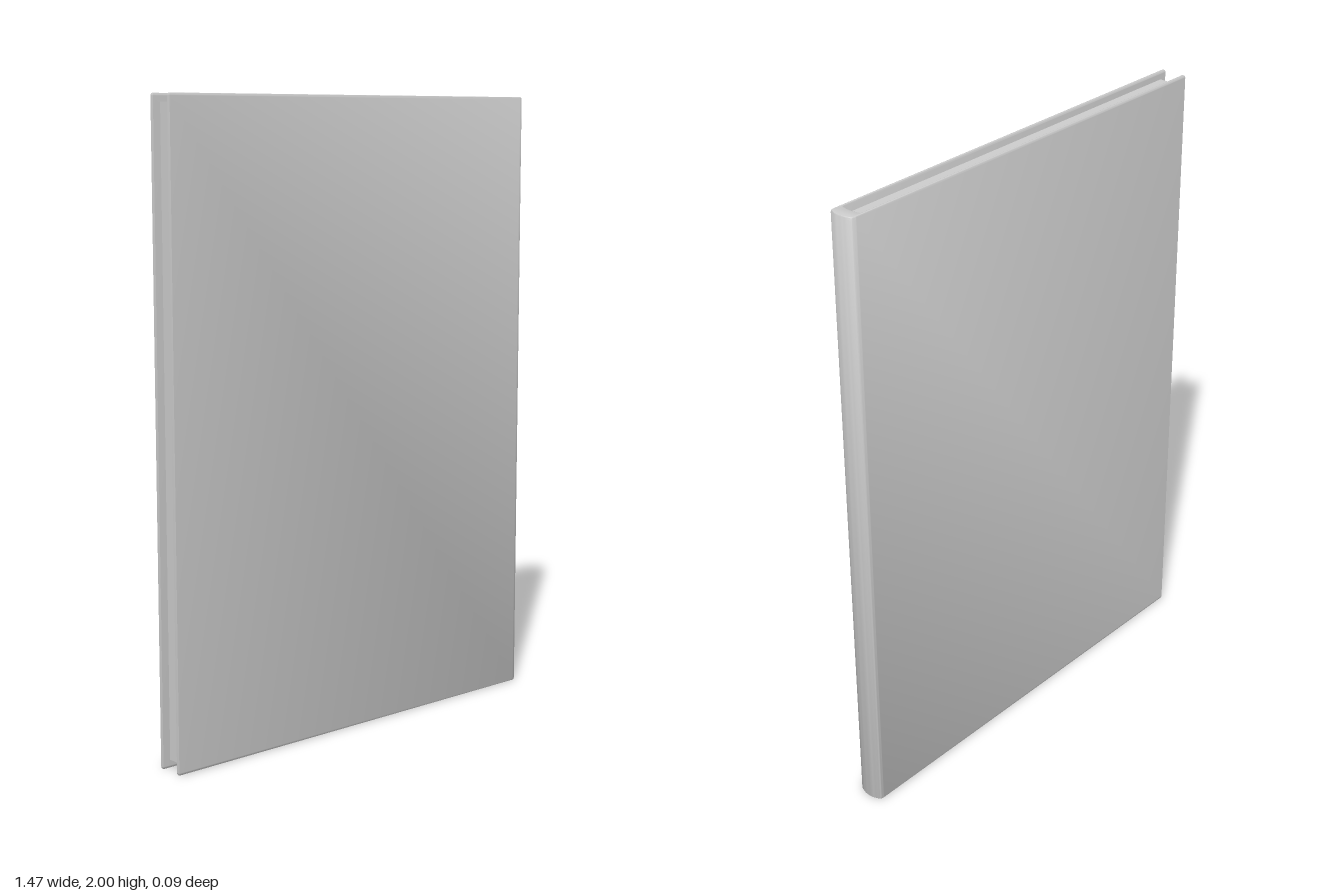
import * as THREE from 'three';
import { toCreasedNormals } from 'three/addons/utils/BufferGeometryUtils.js';

const HEIGHT = 2;
const HALF = 0.045;       // half thickness of the closed book
const INNER = 0.033;      // half thickness of the page block
const FORE_EDGE = -0.74;  // open edge of the cover
const RECESS = 0.025;     // pages sit back from the cover edges

// Extrudes a plan outline (x, z) upward between two heights, with rounded rims.
function upright(shape, y0, y1, bevel, rise) {
  const geometry = new THREE.ExtrudeGeometry(shape, {
    depth: y1 - y0 - 2 * rise,
    curveSegments: 10,
    bevelEnabled: bevel > 0,
    bevelSize: bevel,
    bevelOffset: -bevel,
    bevelThickness: rise,
    bevelSegments: 4,
  });
  geometry.rotateX(-Math.PI / 2);
  geometry.translate(0, y0 + rise, 0);
  return toCreasedNormals(geometry, 0.7);
}

// Cover: two boards joined by a gently rounded spine, as one U outline.
function coverShape() {
  const s = new THREE.Shape();
  s.moveTo(FORE_EDGE, -HALF);
  s.lineTo(0.71, -HALF);
  s.quadraticCurveTo(0.722, -HALF, 0.726, -0.034);
  s.quadraticCurveTo(0.743, 0, 0.726, 0.034);
  s.quadraticCurveTo(0.722, HALF, 0.71, HALF);
  s.lineTo(FORE_EDGE, HALF);
  s.lineTo(FORE_EDGE, INNER);
  s.lineTo(0.682, INNER);
  s.quadraticCurveTo(0.694, 0, 0.682, -INNER);
  s.lineTo(FORE_EDGE, -INNER);
  s.closePath();
  return s;
}

// Page block, its bound edge following the inside of the spine.
function pageShape() {
  const s = new THREE.Shape();
  s.moveTo(FORE_EDGE + RECESS, -INNER);
  s.lineTo(0.682, -INNER);
  s.quadraticCurveTo(0.694, 0, 0.682, INNER);
  s.lineTo(FORE_EDGE + RECESS, INNER);
  s.closePath();
  return s;
}

export function createModel() {
  const group = new THREE.Group();
  group.name = 'book';
  const material = new THREE.MeshStandardMaterial({ color: 0xcccccc });

  const cover = new THREE.Mesh(upright(coverShape(), 0, HEIGHT, 0.004, 0.008), material);
  cover.name = 'cover';

  const pages = new THREE.Mesh(upright(pageShape(), RECESS, HEIGHT - RECESS, 0, 0), material);
  pages.name = 'pages';

  group.add(cover, pages);
  return group;
}
